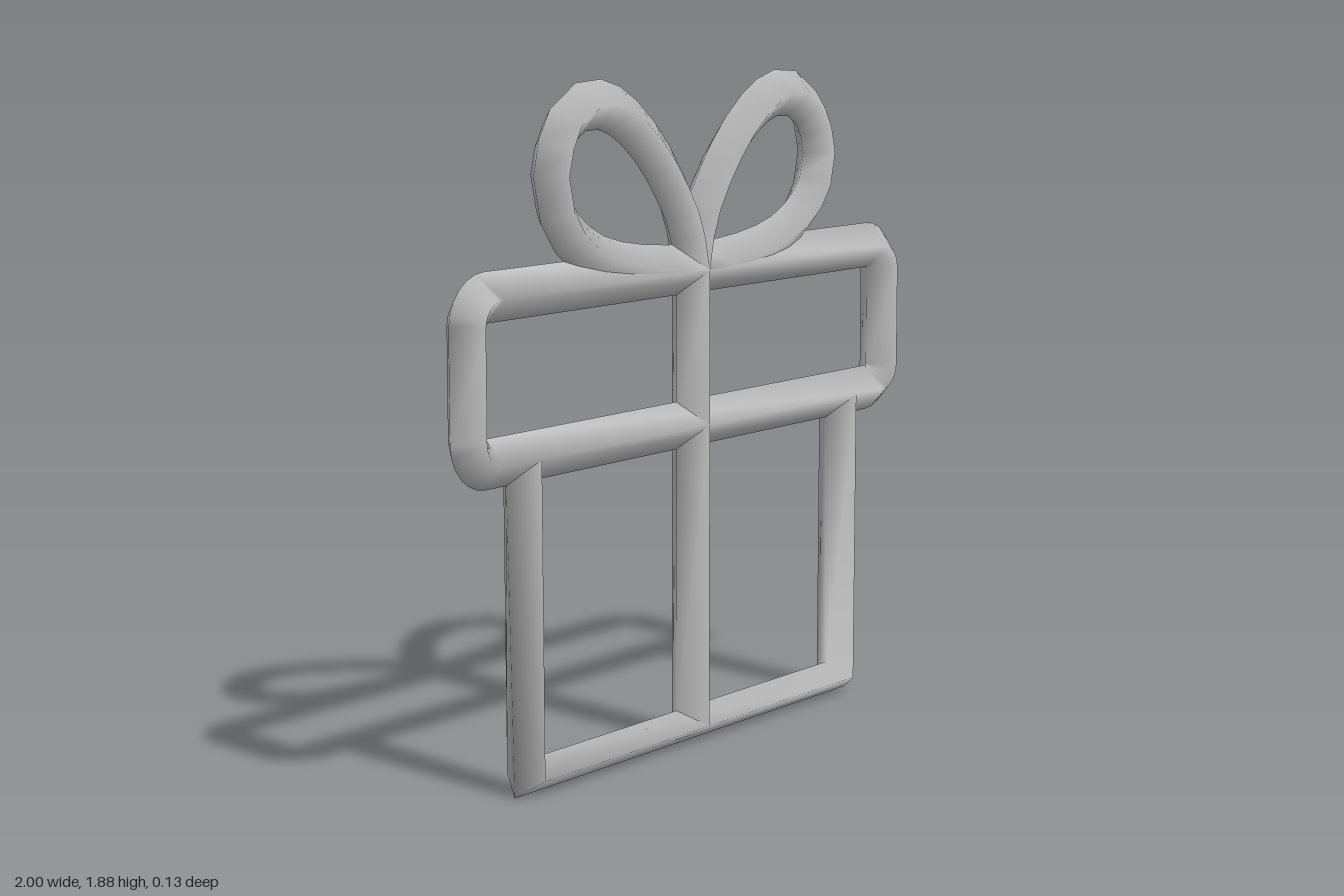
import * as THREE from 'three';

const R = 0.067; // half-width of the diamond-section bar

// Sweep a four-sided bar along a flat path of [x, y] points
function bar(points, closed = false) {
  const n = points.length;
  const at = (i) => (closed ? points[(i + n) % n] : points[Math.min(Math.max(i, 0), n - 1)]);
  const dir = (a, b) => new THREE.Vector2(b[0] - a[0], b[1] - a[1]).normalize();
  const pos = [], index = [];
  points.forEach(([x, y], i) => {
    const t = dir(at(i - 1), at(i)).add(dir(at(i), at(i + 1))).normalize();
    const nx = -t.y * R, ny = t.x * R;
    pos.push(x + nx, y + ny, 0, x, y, R, x - nx, y - ny, 0, x, y, -R);
  });
  for (let i = 0; i < (closed ? n : n - 1); i++) {
    const k = (i + 1) % n;
    for (let j = 0; j < 4; j++) {
      const m = (j + 1) % 4;
      const a = i * 4 + j, b = i * 4 + m, c = k * 4 + m, d = k * 4 + j;
      index.push(a, b, c, a, c, d);
    }
  }
  const g = new THREE.BufferGeometry();
  g.setAttribute('position', new THREE.Float32BufferAttribute(pos, 3));
  g.setIndex(index);
  g.computeVertexNormals();
  return g;
}

// Rounded rectangle as a list of points
function roundedRect(hw, y0, y1, r, steps) {
  const pts = [];
  const corners = [[hw - r, y1 - r], [-hw + r, y1 - r], [-hw + r, y0 + r], [hw - r, y0 + r]];
  corners.forEach(([cx, cy], q) => {
    for (let s = 0; s <= steps; s++) {
      const a = (q + s / steps) * Math.PI / 2;
      pts.push([cx + r * Math.cos(a), cy + r * Math.sin(a)]);
    }
  });
  return pts;
}

export function createModel() {
  const group = new THREE.Group();
  const grey = new THREE.MeshStandardMaterial({ color: 0xc0c0c0 });
  grey.name = 'grey';
  const add = (name, geometry) => {
    const mesh = new THREE.Mesh(geometry, grey);
    mesh.name = name;
    group.add(mesh);
  };

  // Lid outline
  add('lidFrame', bar(roundedRect(0.933, 0.911, 1.343, 0.07, 6), true));

  // Box sides and base, narrowing at the mitred corners
  add('boxFrame', bar([[-0.72, 0.911], [-0.716, 0.048], [0.716, 0.048], [0.72, 0.911]]));

  // Vertical ribbon
  add('lowerRibbon', bar([[0, 0.048], [0, 0.911]]));
  add('upperRibbon', bar([[0, 0.911], [0, 1.343]]));

  // Bow loops
  const loop = [
    [0, 1.345], [0.02, 1.435], [0.05, 1.51], [0.095, 1.58], [0.145, 1.645], [0.205, 1.708],
    [0.273, 1.762], [0.335, 1.797], [0.397, 1.815], [0.475, 1.811], [0.55, 1.766],
    [0.582, 1.71], [0.601, 1.637], [0.579, 1.542], [0.535, 1.483], [0.475, 1.437],
    [0.405, 1.402], [0.32, 1.378], [0.215, 1.361], [0.11, 1.352], [0, 1.345],
  ];
  add('leftBowLoop', bar(loop));
  add('rightBowLoop', bar(loop.map(([x, y]) => [-x, y])));

  return group;
}
